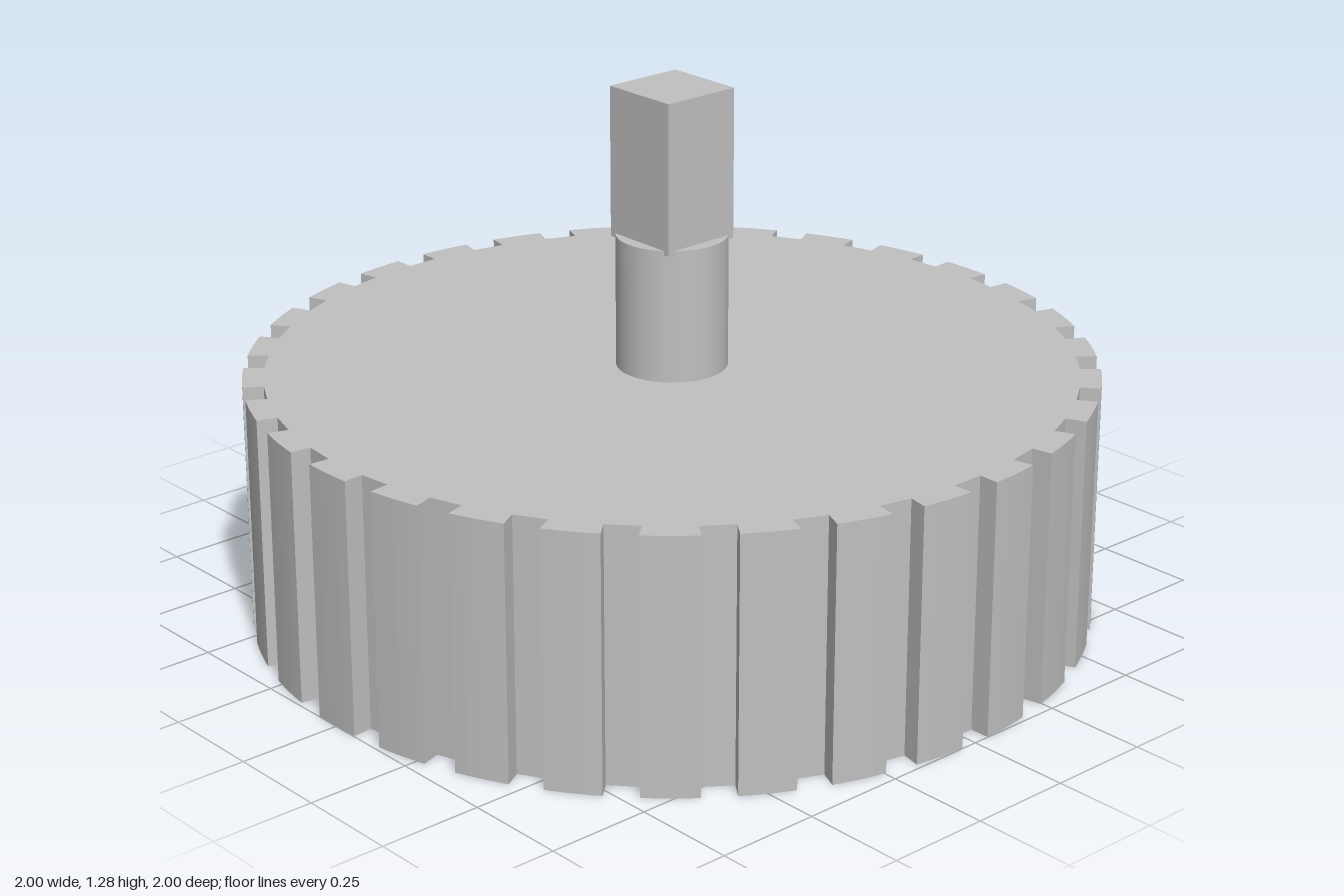
import * as THREE from 'three';

const TEETH = 30, OUTER = 1, ROOT = 0.95, HALF_SLOT = 0.04;
const GEAR_H = 0.61, BORE_R = 0.083;

// Toothed outline: arc-topped teeth separated by parallel-sided slots
function gearShape() {
  const shape = new THREE.Shape();
  const pitch = (Math.PI * 2) / TEETH;
  const slotAngle = Math.asin(HALF_SLOT / OUTER);
  const points = [];
  for (let i = 0; i < TEETH; i++) {
    const a = i * pitch; // centre of a slot
    for (const side of [-1, 1]) {
      points.push(new THREE.Vector2(ROOT, side * HALF_SLOT).rotateAround(new THREE.Vector2(), a));
    }
    const steps = 4;
    for (let s = 0; s <= steps; s++) {
      const t = a + slotAngle + (pitch - 2 * slotAngle) * (s / steps);
      points.push(new THREE.Vector2(Math.cos(t) * OUTER, Math.sin(t) * OUTER));
    }
  }
  shape.setFromPoints(points);

  // Central bore
  const bore = new THREE.Path();
  bore.absarc(0, 0, BORE_R, 0, Math.PI * 2, true);
  shape.holes.push(bore);
  return shape;
}

export function createModel() {
  const group = new THREE.Group();
  const metal = new THREE.MeshStandardMaterial({ color: 0xc0c0c0 });
  metal.name = 'grey metal';

  const add = (name, geometry, y) => {
    const mesh = new THREE.Mesh(geometry, metal);
    mesh.name = name;
    mesh.position.y = y;
    group.add(mesh);
  };

  // Gear wheel lying flat on the ground
  const gear = new THREE.ExtrudeGeometry(gearShape(), {
    depth: GEAR_H, bevelEnabled: false, curveSegments: 24,
  });
  gear.rotateX(-Math.PI / 2);
  add('gearWheel', gear, 0);

  // Round shaft; its base closes the top of the bore
  const shaftTop = 0.93;
  add('shaft', new THREE.CylinderGeometry(0.131, 0.131, shaftTop - GEAR_H, 48), (shaftTop + GEAR_H) / 2);

  // Square drive whose corners overhang the shaft slightly
  const driveBottom = 0.92, driveTop = 1.28;
  add('squareDrive', new THREE.BoxGeometry(0.2, driveTop - driveBottom, 0.2), (driveTop + driveBottom) / 2);

  return group;
}
